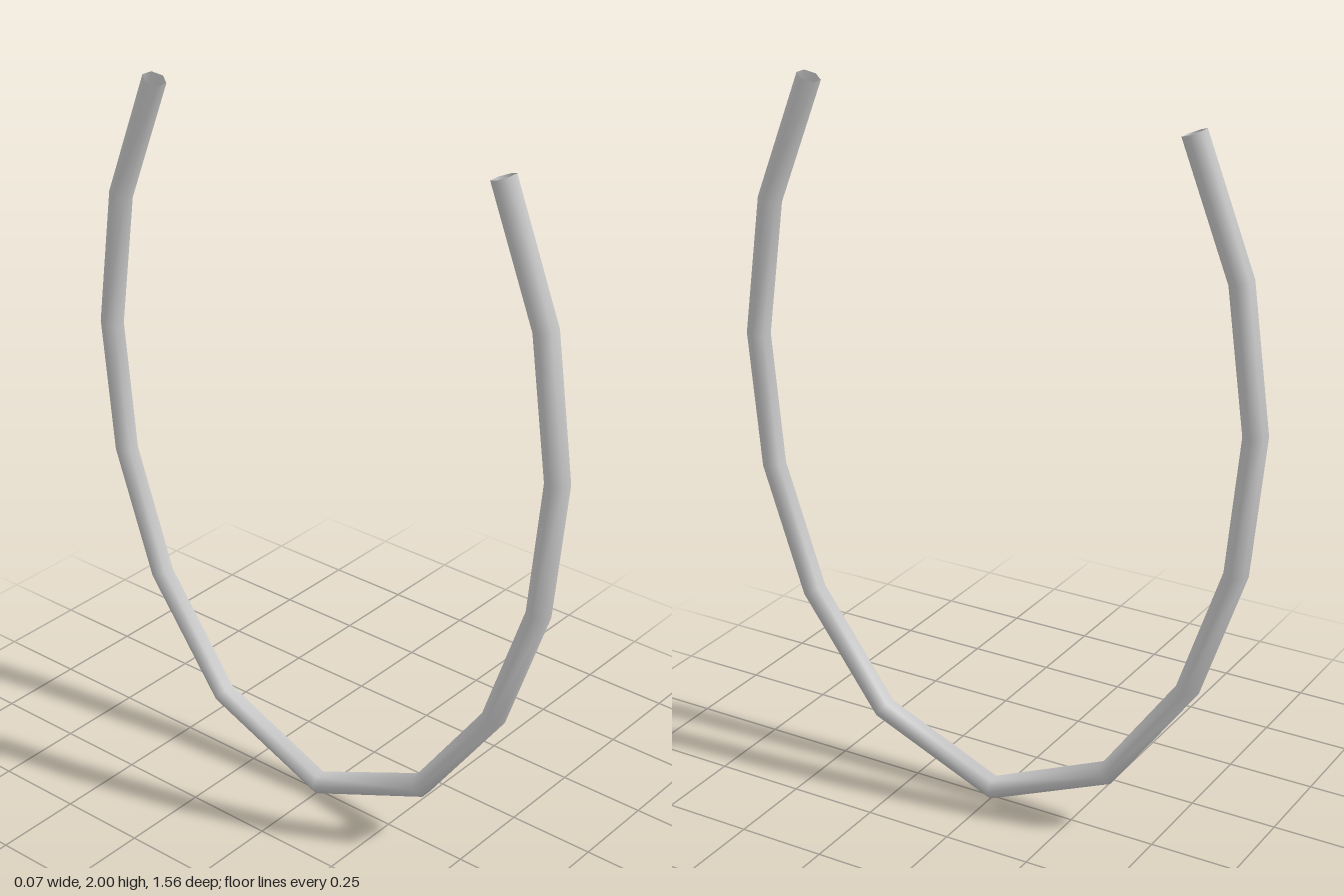
import * as THREE from 'three';

const SIDES = 6, RADIUS = 0.033;

// Sweeps a hexagonal ring along a path lying in the x = 0 plane; both ends stay open.
function sweepBand(path) {
  const positions = [], index = [];
  path.forEach((p, i) => {
    const before = path[Math.max(i - 1, 0)];
    const after = path[Math.min(i + 1, path.length - 1)];
    const dirIn = p.clone().sub(before).normalize();
    const dirOut = after.clone().sub(p).normalize();
    const t = dirIn.add(dirOut).normalize();
    // across = ring direction inside the plane of the bow (path x is z, path y is y)
    const across = new THREE.Vector2(-t.y, t.x);
    for (let k = 0; k < SIDES; k++) {
      const a = (k / SIDES) * Math.PI * 2;
      const s = Math.sin(a) * RADIUS;
      positions.push(Math.cos(a) * RADIUS, p.y + across.y * s, p.x + across.x * s);
    }
  });
  for (let i = 0; i < path.length - 1; i++) {
    for (let k = 0; k < SIDES; k++) {
      const a = i * SIDES + k, b = i * SIDES + (k + 1) % SIDES;
      const c = a + SIDES, d = b + SIDES;
      index.push(a, b, d, a, d, c);
    }
  }
  const geometry = new THREE.BufferGeometry();
  geometry.setAttribute('position', new THREE.Float32BufferAttribute(positions, 3));
  geometry.setIndex(index);
  geometry.computeVertexNormals();
  return geometry;
}

export function createModel() {
  const group = new THREE.Group();
  group.name = 'openBow';

  // One arm as (z, y) from the tip down; the other arm is its mirror image.
  const arm = [
    [0.556, 1.989], [0.695, 1.637], [0.75, 1.247], [0.714, 0.863],
    [0.59, 0.5], [0.36, 0.183],
  ].map(([z, y]) => new THREE.Vector2(z, y));
  const mirrored = arm.map((p) => new THREE.Vector2(-p.x, p.y)).reverse();
  const path = [...arm, new THREE.Vector2(0, 0.0286), ...mirrored];

  const material = new THREE.MeshStandardMaterial({ color: 0xcccccc, side: THREE.DoubleSide });
  const band = new THREE.Mesh(sweepBand(path), material);
  band.name = 'curvedBand';
  group.add(band);
  return group;
}
